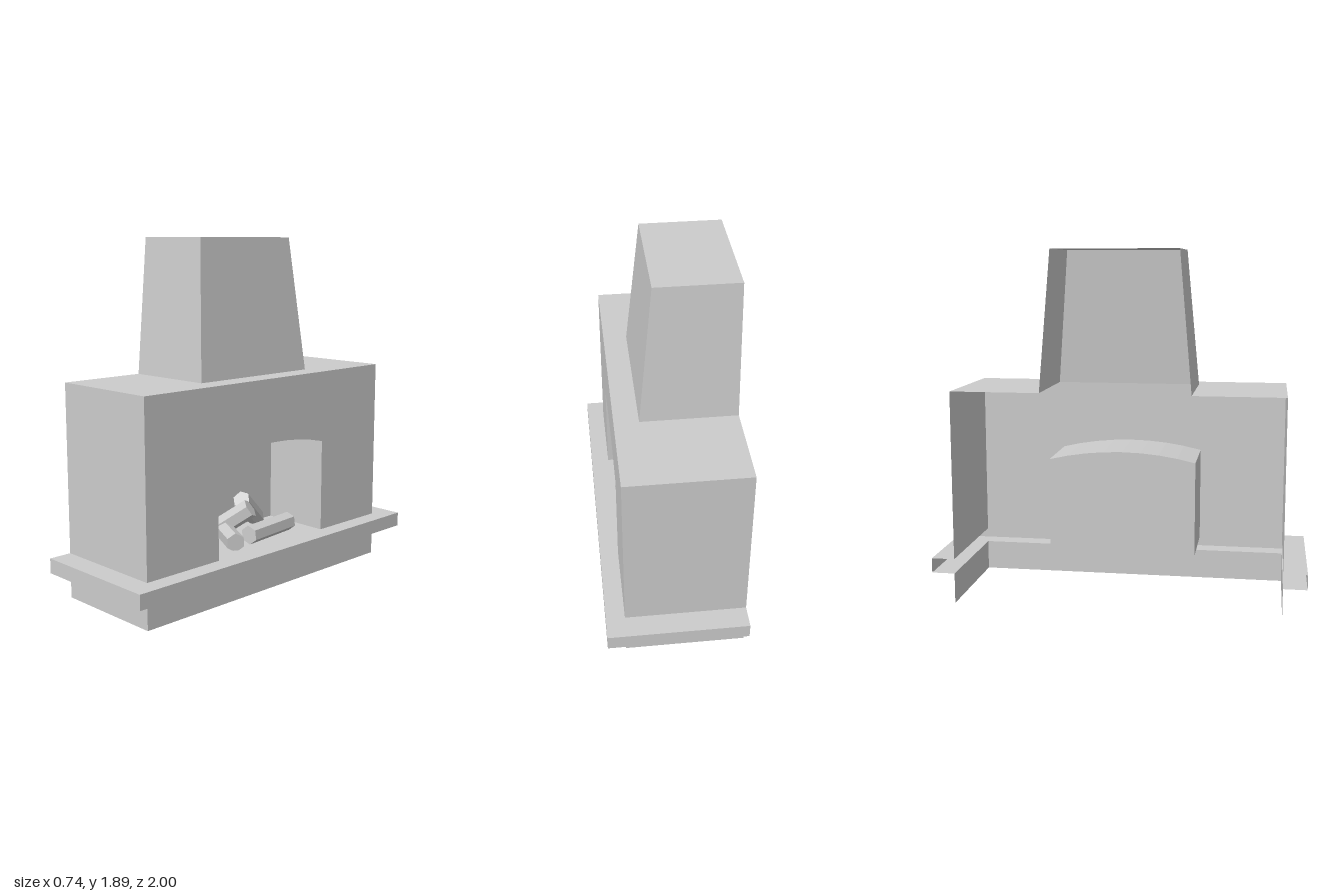
import * as THREE from 'three';

const material = new THREE.MeshStandardMaterial({ color: 0xcccccc, flatShading: true, side: THREE.DoubleSide });
const BACK = -0.37, FRONT = 0.27, HALF = 0.875;
const HEARTH = 0.245, BODY_TOP = 1.155;
const FIREBOX_BACK = -0.126;

function add(parent, name, geometry) {
  const mesh = new THREE.Mesh(geometry, material);
  mesh.name = name;
  parent.add(mesh);
  return mesh;
}

// Join rows of points with flat quads.
function loft(rows) {
  const pos = [];
  for (let r = 0; r < rows.length - 1; r++) {
    for (let i = 0; i < rows[r].length - 1; i++) {
      const a = rows[r][i], b = rows[r][i + 1], c = rows[r + 1][i + 1], d = rows[r + 1][i];
      pos.push(...a, ...b, ...c, ...a, ...c, ...d);
    }
  }
  const geometry = new THREE.BufferGeometry();
  geometry.setAttribute('position', new THREE.Float32BufferAttribute(pos, 3));
  geometry.computeVertexNormals();
  return geometry;
}

// Three-sided ring, open at the wall side: height, front x, half width.
const ring = ([y, x, z]) => [[BACK, y, z], [x, y, z], [x, y, -z], [BACK, y, -z]];
const shell = (...levels) => loft(levels.map(ring));

// Flat outline drawn in (-z, y), standing at the given x.
function panel(points, x) {
  const shape = new THREE.Shape(points.map(([u, v]) => new THREE.Vector2(u, v)));
  return new THREE.ShapeGeometry(shape).rotateY(Math.PI / 2).translate(x, 0, 0);
}

function log(parent, from, to, radius) {
  const a = new THREE.Vector3(...from), b = new THREE.Vector3(...to);
  const dir = b.clone().sub(a);
  const mesh = add(parent, 'log', new THREE.CylinderGeometry(radius, radius, dir.length(), 6));
  mesh.position.copy(a).add(b).multiplyScalar(0.5);
  mesh.quaternion.setFromUnitVectors(new THREE.Vector3(0, 1, 0), dir.normalize());
}

export function createModel() {
  const group = new THREE.Group();
  group.name = 'fireplace';

  // Plinth and projecting hearth slab
  add(group, 'plinth', shell([0, FRONT, HALF], [0.165, FRONT, HALF]));
  add(group, 'hearthSlab', shell(
    [0.165, FRONT, HALF], [0.165, 0.37, 1], [HEARTH, 0.37, 1], [HEARTH, FRONT, HALF]));

  // Shallow arch of the opening, from left to right
  const arch = [[-0.4, HEARTH]];
  const radius = 1.625, sweep = Math.asin(0.4 / radius);
  for (let i = 0; i <= 8; i++) {
    const t = sweep * (i / 4 - 1);
    arch.push([radius * Math.sin(t), 0.81 - radius * (1 - Math.cos(t))]);
  }
  arch.push([0.4, HEARTH]);

  // Surround: arched front, side walls and mantel top
  add(group, 'surroundFront', panel(
    [[-HALF, HEARTH], ...arch, [HALF, HEARTH], [HALF, BODY_TOP], [-HALF, BODY_TOP]], FRONT));
  for (const s of [1, -1]) {
    const low = [[BACK, HEARTH, s * HALF], [FRONT, HEARTH, s * HALF]];
    const high = low.map(([x, , z]) => [x, BODY_TOP, z]);
    add(group, 'surroundSide', loft(s > 0 ? [low, high] : [high, low]));
  }
  add(group, 'mantelTop', shell([BODY_TOP, FRONT, HALF], [BODY_TOP, 0.14, 0.395]));

  // Tapered chimney hood with a flat cap
  add(group, 'chimney', shell([BODY_TOP, 0.14, 0.395], [1.89, 0.067, 0.33]));
  add(group, 'chimneyCap', new THREE.PlaneGeometry(0.437, 0.66)
    .rotateX(-Math.PI / 2).translate((BACK + 0.067) / 2, 1.89, 0));

  // Firebox: side walls, vault, floor and back
  const outline = [...arch, arch[0]];
  const section = x => outline.map(([u, y]) => [x, y, -u]);
  add(group, 'fireboxWalls', loft([section(FIREBOX_BACK), section(FRONT)]));
  add(group, 'fireboxBack', panel(arch, FIREBOX_BACK));

  // Stacked logs
  const logs = new THREE.Group();
  logs.name = 'logs';
  group.add(logs);
  log(logs, [0.21, 0.288, 0.22], [-0.03, 0.292, 0.09], 0.052);
  log(logs, [0.2, 0.305, 0.11], [0.145, 0.298, -0.26], 0.052);
  log(logs, [0.11, 0.418, 0.01], [-0.06, 0.275, 0.13], 0.055);
  log(logs, [0.03, 0.45, 0.0], [-0.05, 0.29, -0.2], 0.05);

  return group;
}
